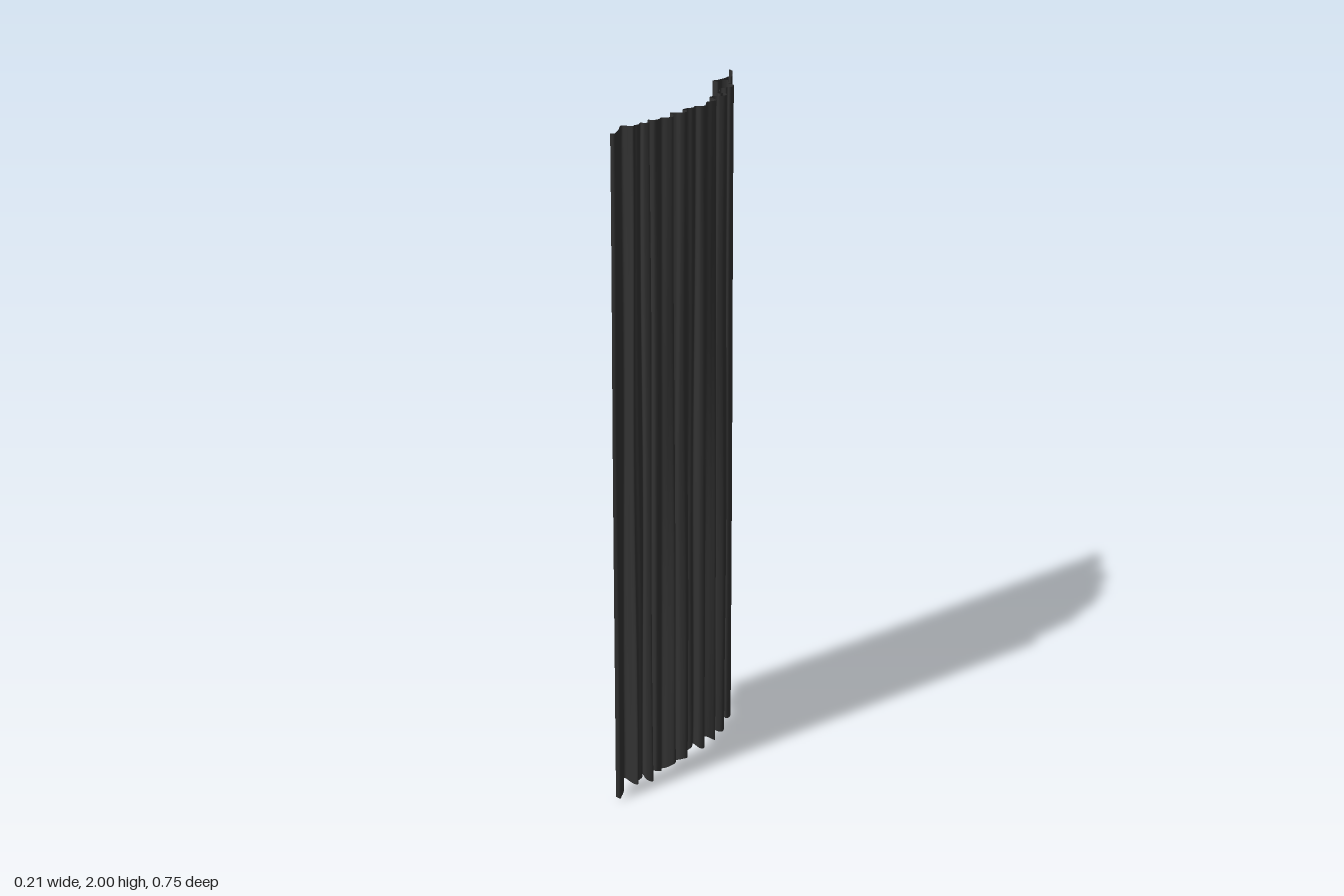
import * as THREE from 'three';

// Pleat outline at the hem, seen from above: [x, z] in thousandths, back to front
const backPleats = [
  [-103, -376], [-87, -371], [-71, -345], [-50, -325], [-42, -305], [-58, -314], [-51, -285], [-56, -255],
  [-68, -235], [-40, -238], [-46, -268], [-30, -284], [-22, -262], [-5, -255], [-10, -238], [2, -246],
  [16, -245], [28, -230], [25, -212], [13, -209], [23, -196], [2, -190], [10, -175], [21, -170],
  [30, -155], [35, -129], [45, -135], [43, -155], [60, -155], [75, -130], [62, -115], [47, -111],
  [36, -85], [60, -85], [88, -76], [80, -60],
];
const frontPleats = [
  [65, -43], [70, -34], [80, -25], [98, -8], [90, 6], [69, 10], [80, 30], [69, 45],
  [64, 70], [84, 60], [101, 80], [90, 95], [70, 100], [55, 115], [80, 120], [105, 140],
  [90, 155], [71, 165], [83, 180], [80, 200], [55, 207], [70, 215], [90, 226], [75, 241],
  [58, 238], [75, 260], [72, 275], [80, 285], [60, 289], [37, 295], [50, 315], [68, 335],
  [75, 355], [83, 370], [73, 378],
];

const ACROSS = 420;
const ROWS = 32;

function createCloth() {
  const points = [...backPleats, ...frontPleats].map(([x, z]) => new THREE.Vector3(x / 1000, 0, z / 1000));
  const path = new THREE.CatmullRomCurve3(points, false, 'centripetal');
  const hem = path.getSpacedPoints(ACROSS);

  // Gentle centre line that the pleats swing around
  const reach = 16;
  const centre = hem.map((p, i) => {
    const r = Math.min(reach, i, ACROSS - i);
    const mean = new THREE.Vector3();
    for (let k = -r; k <= r; k++) mean.add(hem[i + k]);
    return mean.divideScalar(2 * r + 1);
  });

  const positions = [];
  const indices = [];
  const p = new THREE.Vector3();
  for (let j = 0; j <= ROWS; j++) {
    const t = j / ROWS; // 0 at the hem, 1 at the top
    for (let i = 0; i <= ACROSS; i++) {
      // Pleats are tighter at the top and drift slightly on the way down
      p.lerpVectors(centre[i], hem[i], 1 - 0.38 * t);
      const sway = Math.sin(Math.PI * t) * 0.003;
      const x = p.x + sway * Math.sin(i * 0.19 + t * 4);
      const z = p.z * (1 - 0.012 * t) + sway * Math.sin(i * 0.13 + t * 5);
      // Uneven hem
      const low = 0.018 + 0.009 * Math.sin(i * 0.21) + 0.006 * Math.sin(i * 0.083 + 1);
      positions.push(x, low + (2 - low) * t, z);
      if (i < ACROSS && j < ROWS) {
        const a = j * (ACROSS + 1) + i;
        const b = a + ACROSS + 1;
        indices.push(a, b, a + 1, b, b + 1, a + 1);
      }
    }
  }
  const geometry = new THREE.BufferGeometry();
  geometry.setAttribute('position', new THREE.Float32BufferAttribute(positions, 3));
  geometry.setIndex(indices);
  geometry.computeVertexNormals();
  return geometry;
}

export function createModel() {
  const group = new THREE.Group();
  group.name = 'curtain';
  const fabric = new THREE.MeshStandardMaterial({ color: 0x333333, side: THREE.DoubleSide });
  const cloth = new THREE.Mesh(createCloth(), fabric);
  cloth.name = 'pleatedCloth';
  group.add(cloth);
  return group;
}
